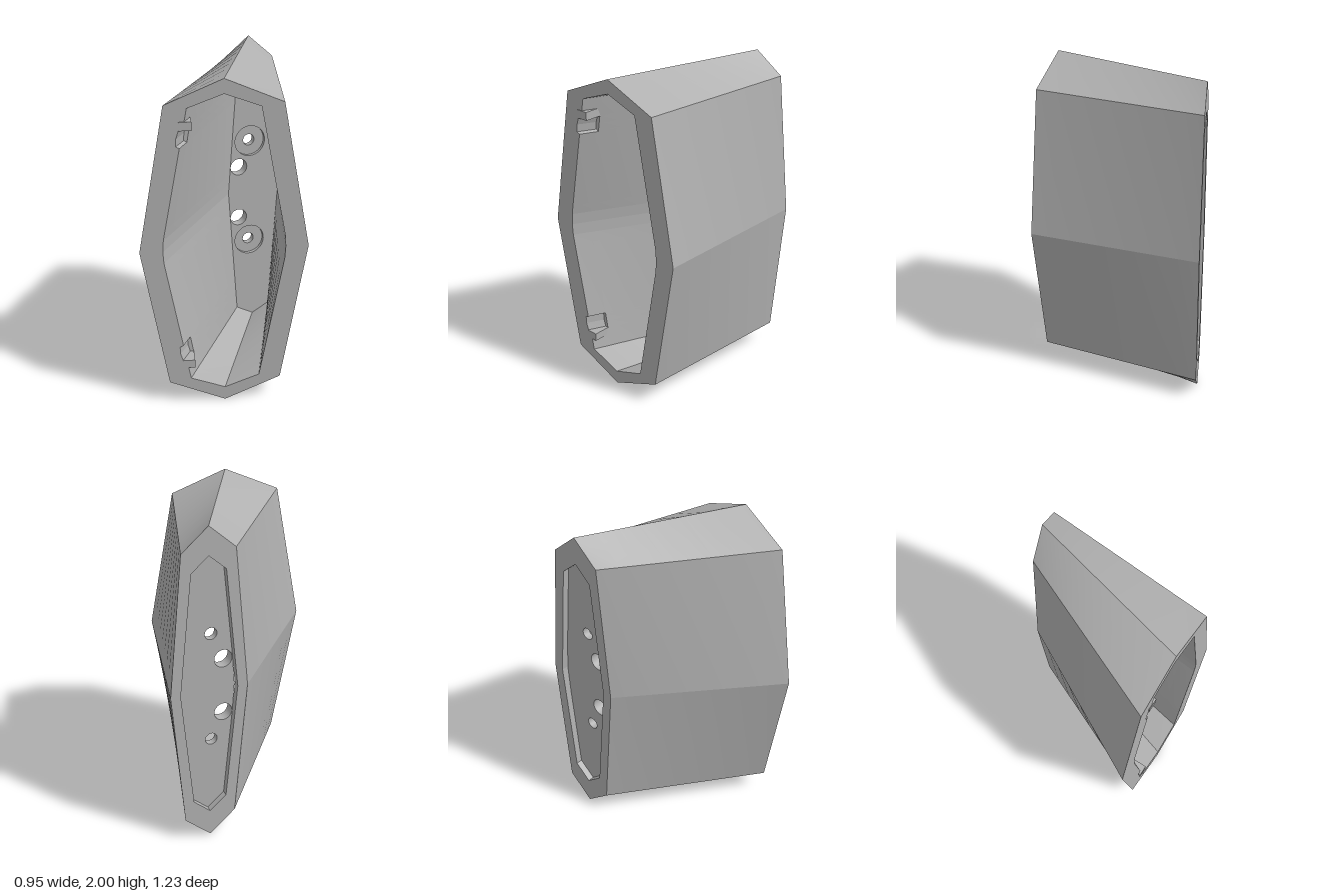
import * as THREE from 'three';
import { mergeGeometries } from 'three/addons/utils/BufferGeometryUtils.js';

const TILT = Math.atan2(0.195, 0.43); // yaw of the back plane
const FRONT_SLOPE = 0.21;
const V = (x, y, z) => new THREE.Vector3(x, y, z);

// Point on the slanted front plane
const front = ([x, y]) => V(x, y, 0.515 - FRONT_SLOPE * x);
// Point parallel to the back plane: u across, y up, d inward
const back = (u, y, d) => V(
  0.045 + u * Math.cos(TILT) + d * Math.sin(TILT), y,
  -0.515 - u * Math.sin(TILT) + d * Math.cos(TILT));

// Eight-sided outline, counterclockwise from the front
const octagon = (mid, shoulder, shoulderH, topH) => [
  [0, 1 + topH], [-shoulder, 1 + shoulderH], [-mid, 1], [-shoulder, 1 - shoulderH],
  [0, 1 - topH], [shoulder, 1 - shoulderH], [mid, 1], [shoulder, 1 + shoulderH]];

// Ruled skin between two matching loops; corners stay sharp, each side is smooth
function skin(a, b, steps = 1) {
  const sides = a.map((_, i) => {
    const j = (i + 1) % a.length, pos = [], idx = [];
    for (let k = 0; k <= steps; k++) {
      const t = k / steps;
      pos.push(...a[i].clone().lerp(b[i], t).toArray(), ...a[j].clone().lerp(b[j], t).toArray());
      if (k < steps) {
        const n = 2 * k;
        idx.push(n, n + 2, n + 1, n + 1, n + 2, n + 3);
      }
    }
    const g = new THREE.BufferGeometry();
    g.setAttribute('position', new THREE.Float32BufferAttribute(pos, 3));
    g.setIndex(idx);
    g.computeVertexNormals();
    return g;
  });
  return mergeGeometries(sides);
}

// Front opening: straight upper sides, rounded waist, optional notches on the right-hand side of the model
const NOTCH = { 0.72: 0, 0.715: 0.022, 0.67: 0.028, 0.625: 0.022, 0.615: 0 };
const halfWidth = h => h < 0.13 ? 0.345 - 0.015 * (h / 0.13) ** 2
  : 0.33 - 0.13 * (h - 0.13) / 0.71;
function opening(notched) {
  const hs = [0.84, 0.72, 0.715, 0.67, 0.625, 0.615, 0.13, 0.07, 0, -0.07, -0.13,
    -0.615, -0.625, -0.67, -0.715, -0.72, -0.84];
  const left = hs.map(h => {
    const a = Math.abs(h);
    return [-halfWidth(a) - (notched ? NOTCH[a] || 0 : 0), 1 + h];
  });
  const right = hs.slice().reverse().map(h => [halfWidth(Math.abs(h)), 1 + h]);
  return [[0, 1.915], ...left, [0, 0.085], ...right];
}

const shapeOf = pts => new THREE.Shape(pts.map(([x, y]) => new THREE.Vector2(x, y)));

export function createModel() {
  const model = new THREE.Group();
  const grey = new THREE.MeshStandardMaterial({ color: 0xb0b0b0 });
  grey.name = 'grey';
  const add = (name, geometry, parent = model) => {
    const mesh = new THREE.Mesh(geometry, grey);
    mesh.name = name;
    parent.add(mesh);
    return mesh;
  };

  // Outer shell and back rim with its shallow recess
  const outerFront = octagon(0.475, 0.325, 0.86, 1);
  const outerBack = octagon(0.236, 0.16, 0.86, 1).map(([u, y]) => back(u, y, 0));
  const recess = octagon(0.175, 0.103, 0.74, 0.83);
  const recessEdge = recess.map(([u, y]) => back(u, y, 0));
  add('outerShell', skin(outerFront.map(front), outerBack, 8));
  add('backRim', skin(outerBack, recessEdge));
  add('recessWall', skin(recessEdge, recess.map(([u, y]) => back(u, y, 0.045))));

  // Slanted front rim
  const rimShape = shapeOf(outerFront);
  rimShape.holes.push(shapeOf(opening(true)));
  const rim = new THREE.ShapeGeometry(rimShape);
  const p = rim.attributes.position;
  for (let i = 0; i < p.count; i++) p.setZ(i, 0.515 - FRONT_SLOPE * p.getX(i));
  rim.computeVertexNormals();
  add('frontRim', rim);

  // Inner wall, with the notches ending in a small step
  const plain = opening(false), notched = opening(true);
  const floor = plain.map(([x, y]) => {
    const h = Math.abs(y - 1);
    return x === 0 ? back(0, 1 + Math.sign(y - 1) * 0.9, 0.11)
      : back(Math.sign(x) * (0.17 - 0.06 * h / 0.84), y, 0.11);
  });
  const at = (loop, t) => loop.map((pt, i) => front(pt).lerp(floor[i], t));
  add('notchWall', skin(at(notched, 0.12), at(notched, 0)));
  add('notchStep', skin(at(plain, 0.12), at(notched, 0.12)));
  add('innerWall', skin(floor, at(plain, 0.12), 6));

  // Floor plate in two layers: small bolt holes behind, counterbores in front
  const floorGroup = new THREE.Group();
  floorGroup.name = 'floorPlate';
  floorGroup.position.set(0.045, 0, -0.515);
  floorGroup.rotation.y = TILT;
  model.add(floorGroup);
  const layer = (name, d, depth, boltRadius) => {
    const shape = shapeOf(octagon(0.17, 0.11, 0.84, 0.9));
    for (const s of [-1, 1]) {
      for (const [u, h, r] of [[-0.1, 0.175, 0.055], [-0.025, 0.345, boltRadius]]) {
        const hole = new THREE.Path();
        hole.absarc(u, 1 + s * h, r, 0, Math.PI * 2, true);
        shape.holes.push(hole);
      }
    }
    const g = new THREE.ExtrudeGeometry(shape, { depth, bevelEnabled: false, curveSegments: 24 });
    add(name, g, floorGroup).position.z = d;
  };
  layer('boltLayer', 0.04, 0.045, 0.037);
  layer('counterboreLayer', 0.085, 0.025, 0.1);

  // Small catches inside the opening
  for (const s of [-1, 1]) {
    const tab = add('catchTab', new THREE.BoxGeometry(0.07, 0.05, 0.11));
    tab.position.set(-0.22, 1 + s * 0.74, 0.509);
    tab.rotation.y = Math.atan(FRONT_SLOPE);
  }
  return model;
}
